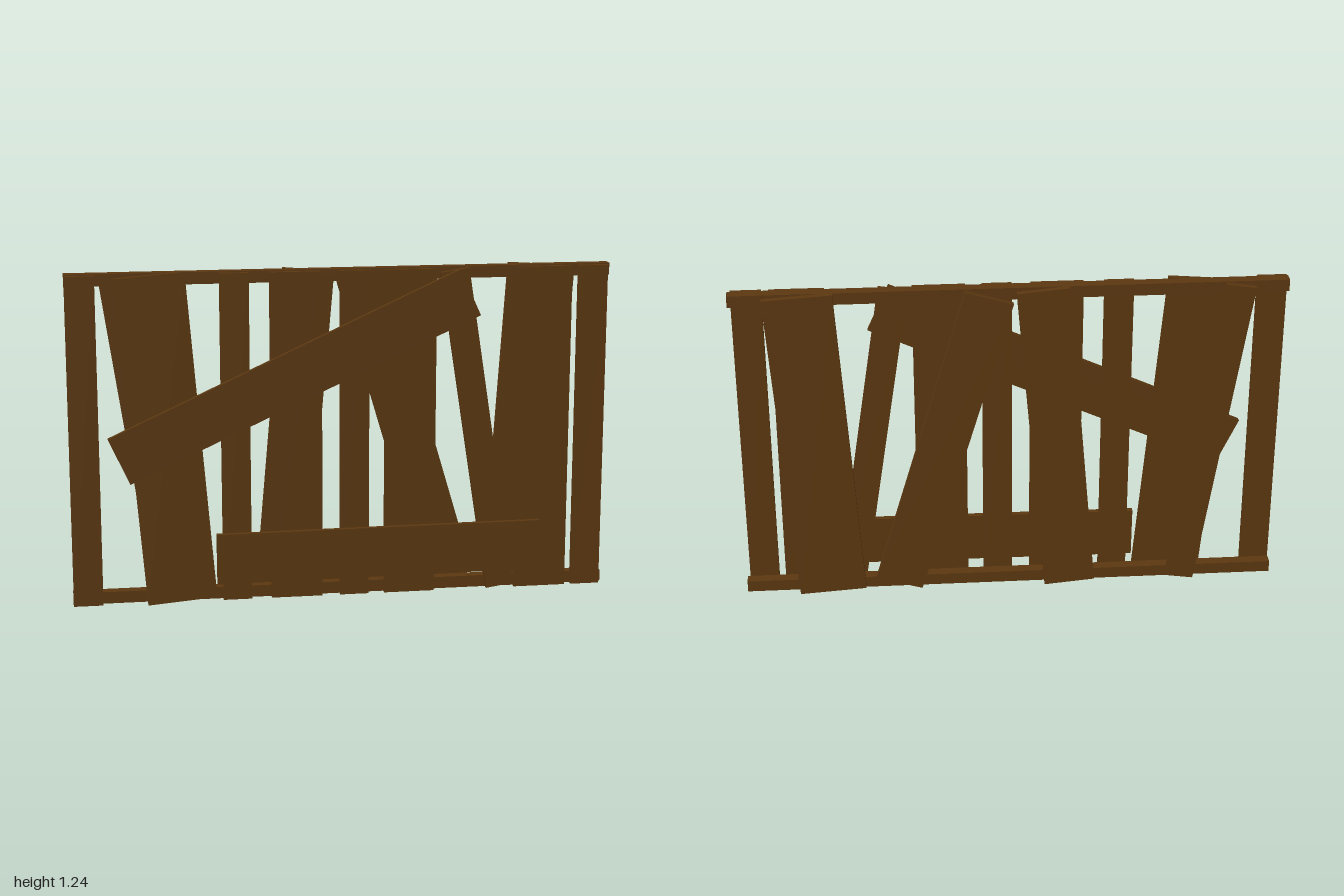
import * as THREE from 'three';

export function createModel() {
  const group = new THREE.Group();
  const wood = new THREE.MeshStandardMaterial({ color: 0x5a3710 });
  wood.name = 'brownWood';

  // A board between two depths, centred at x, y and tilted in degrees
  function board(name, x, y, width, height, [z0, z1], tilt = 0) {
    const mesh = new THREE.Mesh(new THREE.BoxGeometry(width, height, z1 - z0), wood);
    mesh.name = name;
    mesh.position.set(x, y, (z0 + z1) / 2);
    mesh.rotation.z = THREE.MathUtils.degToRad(tilt);
    group.add(mesh);
  }

  const BACK = [-0.051, -0.029];
  const RAIL = [-0.029, 0.012];
  const FRONT = [0.012, 0.032];
  const OUTER = [0.032, 0.052];
  const MID = 0.622, LENGTH = 1.225;

  // Horizontal rails
  board('topRail', 0, 1.217, 2, 0.044, RAIL);
  board('bottomRail', 0, 0.032, 2, 0.044, RAIL);

  // Front planks: centre x, width, tilt
  [
    [-0.945, 0.108, 0],
    [-0.648, 0.257, 4.7],
    [-0.393, 0.106, 0],
    [-0.17, 0.19, 0],
    [0.046, 0.108, 0],
    [0.254, 0.19, 0],
    [0.51, 0.106, 8.8],
    [0.757, 0.197, 0],
    [0.935, 0.11, 0],
  ].forEach(([x, w, tilt], i) => board(`frontPlank${i + 1}`, x, MID, w, LENGTH, FRONT, tilt));

  // Back planks: centre x, width, tilt
  [
    [-0.735, 0.108, 8.4],
    [-0.17, 0.19, -5.1],
    [0.25, 0.18, 16.5],
    [0.715, 0.25, -3.7],
  ].forEach(([x, w, tilt], i) => board(`backPlank${i + 1}`, x, MID, w, LENGTH, BACK, tilt));

  // Boards nailed across the front
  board('diagonalBoard', -0.175, 0.852, 1.42, 0.188, OUTER, 24.6);
  board('lowerBoard', 0.14, 0.175, 1.22, 0.19, OUTER, 0.3);

  return group;
}
